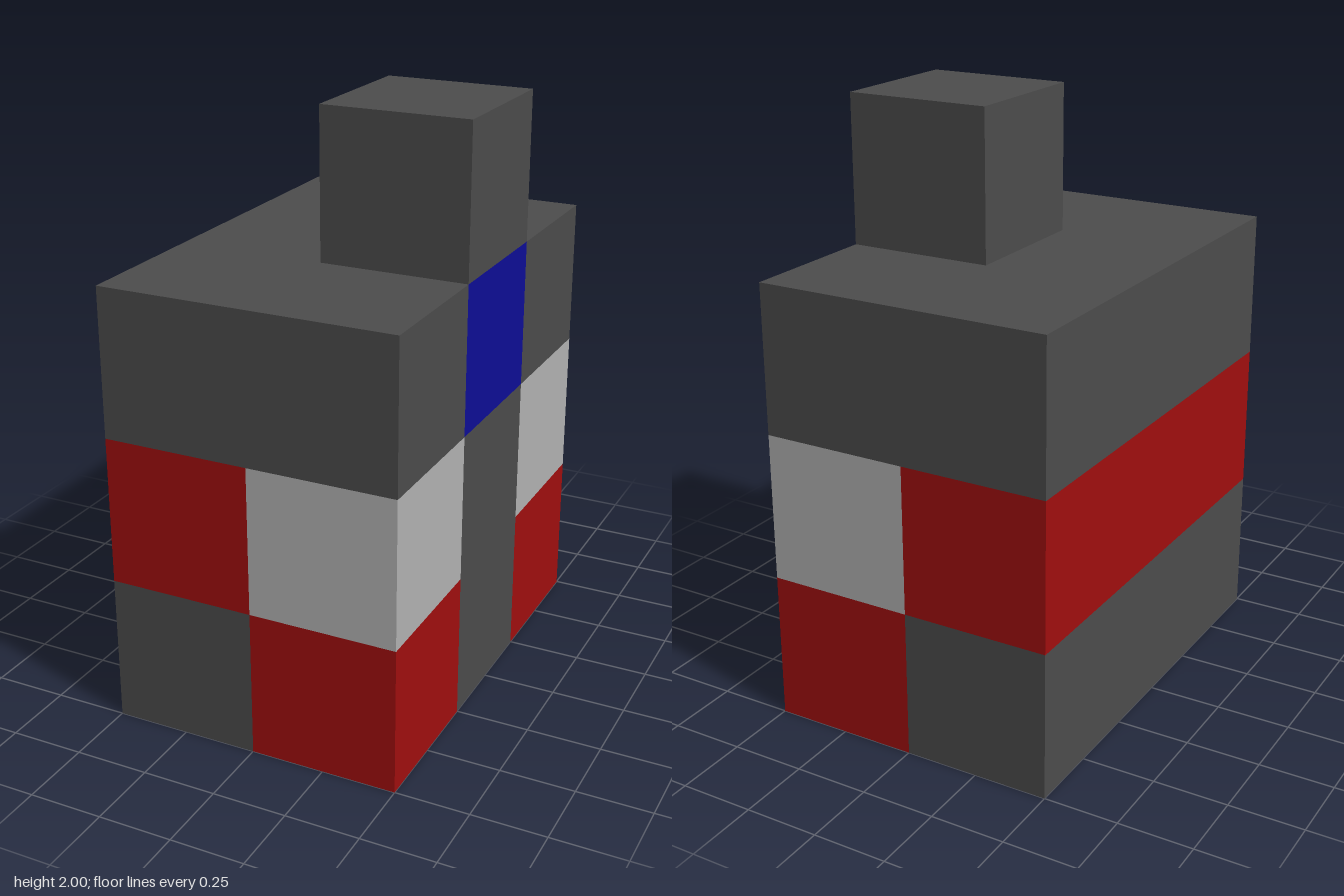
import * as THREE from 'three';

const paint = (name, color) => {
  const m = new THREE.MeshStandardMaterial({ color });
  m.name = name;
  return m;
};

export function createModel() {
  const model = new THREE.Group();
  model.name = 'blockFigure';
  const charcoal = paint('charcoal', 0x4c4c4c);
  const red = paint('red', 0xa00e0e);
  const lightGrey = paint('lightGrey', 0xb2b2b2);
  const blue = paint('blue', 0x0d0d96);

  // Block given by its size and the centre of its base
  const block = (name, material, [w, h, d], [x, y, z]) => {
    const mesh = new THREE.Mesh(new THREE.BoxGeometry(w, h, d), material);
    mesh.name = name;
    mesh.position.set(x, y + h / 2, z);
    model.add(mesh);
  };

  // Full-depth layers along the right half
  const layer = [0.5, 0.5, 1.5];
  block('lowerLayer', charcoal, layer, [-0.25, 0, 0]);
  block('middleStripe', red, layer, [-0.25, 0.5, 0]);
  block('upperLayer', charcoal, layer, [-0.25, 1, 0]);

  // Centre column of the left half
  const cube = [0.5, 0.5, 0.5];
  block('centrePost', charcoal, [0.5, 1, 0.5], [0.25, 0, 0]);
  block('blueCore', blue, cube, [0.25, 1, 0]);
  block('topBlock', charcoal, cube, [0.25, 1.5, 0]);

  // Mirrored front and back corner stacks
  for (const [side, z] of [['front', 0.5], ['back', -0.5]]) {
    block(side + 'Foot', red, cube, [0.25, 0, z]);
    block(side + 'Panel', lightGrey, cube, [0.25, 0.5, z]);
    block(side + 'Shoulder', charcoal, cube, [0.25, 1, z]);
  }
  return model;
}
